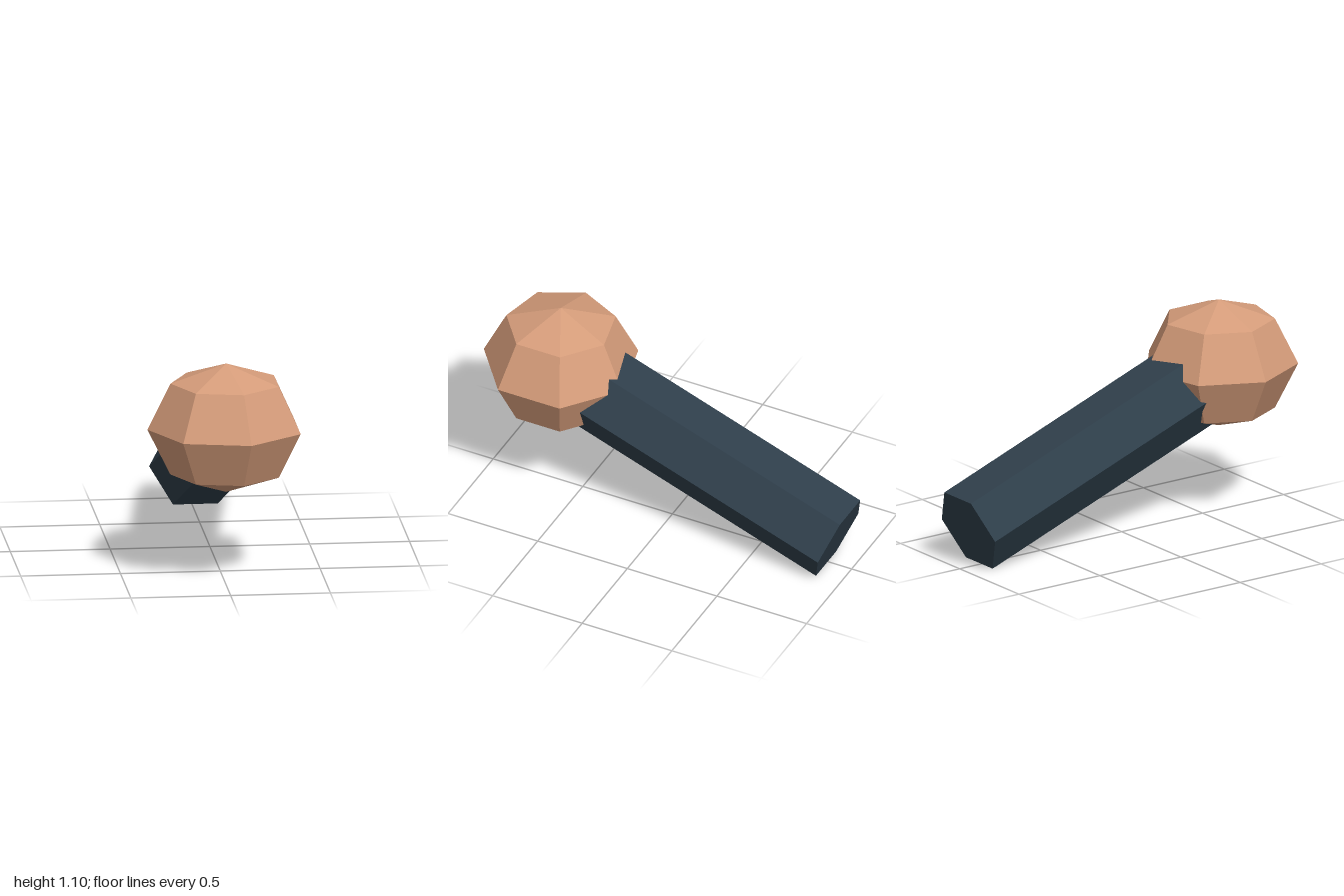
import * as THREE from 'three';

const paint = (name, color) => {
  const material = new THREE.MeshStandardMaterial({ color, flatShading: true });
  material.name = name;
  return material;
};

export function createModel() {
  const group = new THREE.Group();
  const centreX = 0.0175;

  // Faceted, slightly flattened ball
  const ball = new THREE.Mesh(new THREE.SphereGeometry(0.395, 7, 4), paint('warm tan', 0xd59c7a));
  ball.name = 'ball';
  ball.scale.y = 0.33 / 0.395;
  ball.position.set(centreX, 0.765, 0.614);
  group.add(ball);

  // Hexagonal shaft, flat side up, sloping down from the ball to the back
  const length = 1.53;
  const shaftGeometry = new THREE.CylinderGeometry(0.225, 0.225, length, 6);
  shaftGeometry.rotateY(Math.PI / 6);
  shaftGeometry.translate(0, length / 2, 0);
  const shaft = new THREE.Mesh(shaftGeometry, paint('dark slate', 0x2f3f4b));
  shaft.name = 'shaft';
  shaft.rotation.x = THREE.MathUtils.degToRad(70);
  shaft.position.set(centreX, 0.183, -0.933);
  group.add(shaft);

  return group;
}
